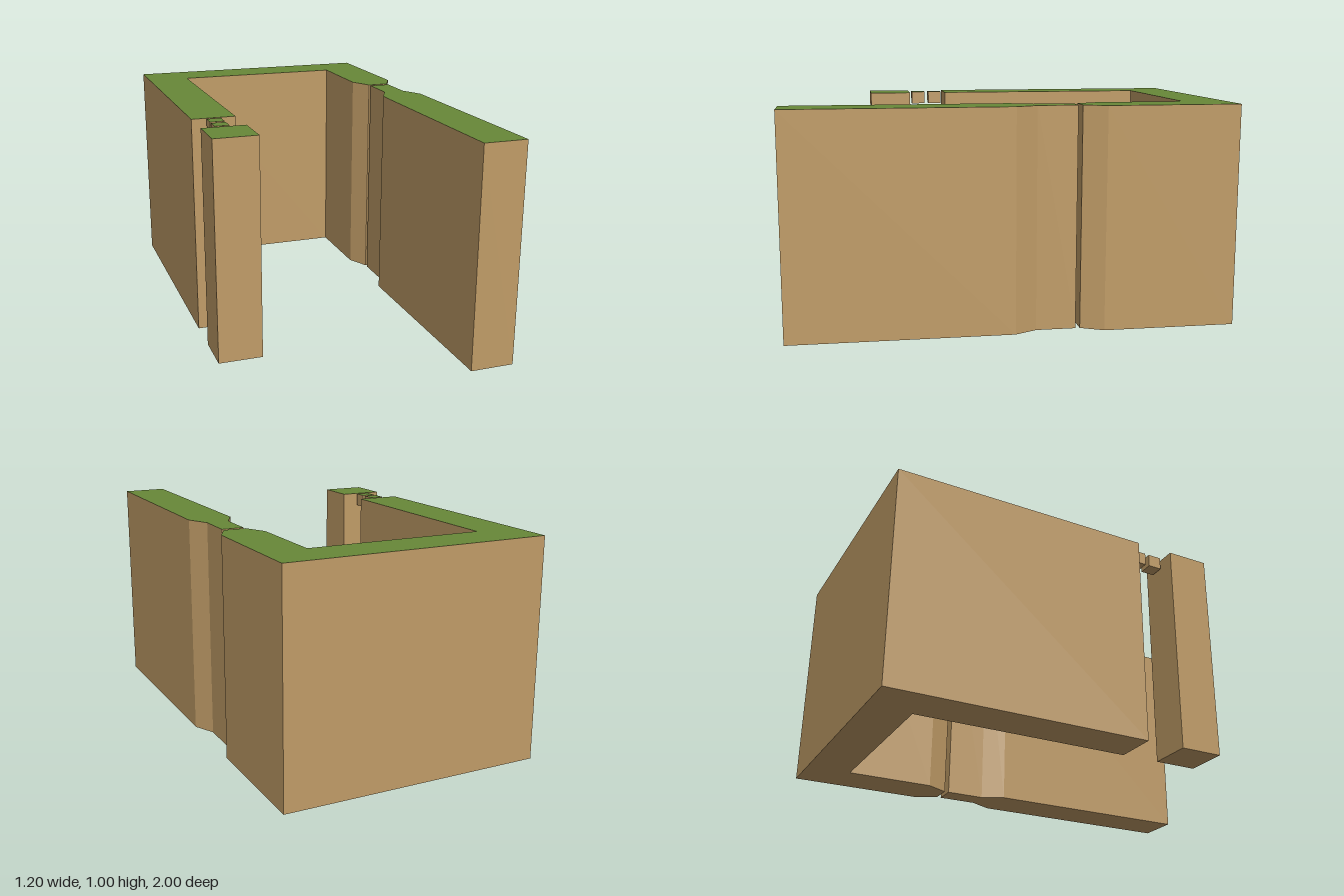
import * as THREE from 'three';

const soil = new THREE.MeshStandardMaterial({ name: 'brownWall', color: 0xc09c67 });
const grass = new THREE.MeshStandardMaterial({ name: 'greenTop', color: 0x688838 });

// Extrudes a floor plan of [x, z] points upward; only the upward cap is green.
function wall(name, plan, bottom = 0, top = 1) {
  const shape = new THREE.Shape(plan.map(([x, z]) => new THREE.Vector2(x, -z)));
  const geometry = new THREE.ExtrudeGeometry(shape, { depth: top - bottom, bevelEnabled: false });
  geometry.rotateX(-Math.PI / 2);
  geometry.translate(0, bottom, 0);

  // The cap group holds the underside first, then the top.
  const [caps, sides] = geometry.groups.map((g) => ({ ...g }));
  const half = caps.count / 2;
  geometry.clearGroups();
  geometry.addGroup(0, half, 0);
  geometry.addGroup(half, half, 1);
  geometry.addGroup(sides.start, sides.count, 0);

  const mesh = new THREE.Mesh(geometry, [soil, grass]);
  mesh.name = name;
  return mesh;
}

const rect = (x0, x1, z0, z1) => [[x0, z1], [x1, z1], [x1, z0], [x0, z0]];

export function createModel() {
  const group = new THREE.Group();
  group.name = 'walledEnclosure';

  // U-shaped wall, its left arm tapering into a narrow neck
  group.add(wall('backWall', [
    [-0.6, -1], [-0.6, 0.2], [-0.4, 0.2], [-0.4, -0.8], [0.4, -0.8], [0.4, -0.4],
    [0.45, -0.3], [0.55, -0.3], [0.6, -0.4], [0.6, -1],
  ]));

  // Long front section on the left, with the matching neck
  group.add(wall('leftFrontWall', [
    [0.45, -0.28], [0.45, -0.1], [0.4, 0], [0.4, 1],
    [0.6, 1], [0.6, 0], [0.55, -0.1], [0.55, -0.28],
  ]));

  // Free-standing post on the right
  group.add(wall('rightPost', rect(-0.6, -0.4, 0.38, 0.58)));

  // Two small blocks hanging in the gap at the top
  [0.215, 0.3].forEach((z, i) => {
    group.add(wall(`gapBlock${i + 1}`, rect(-0.535, -0.47, z, z + 0.065), 0.94, 1));
  });

  return group;
}
